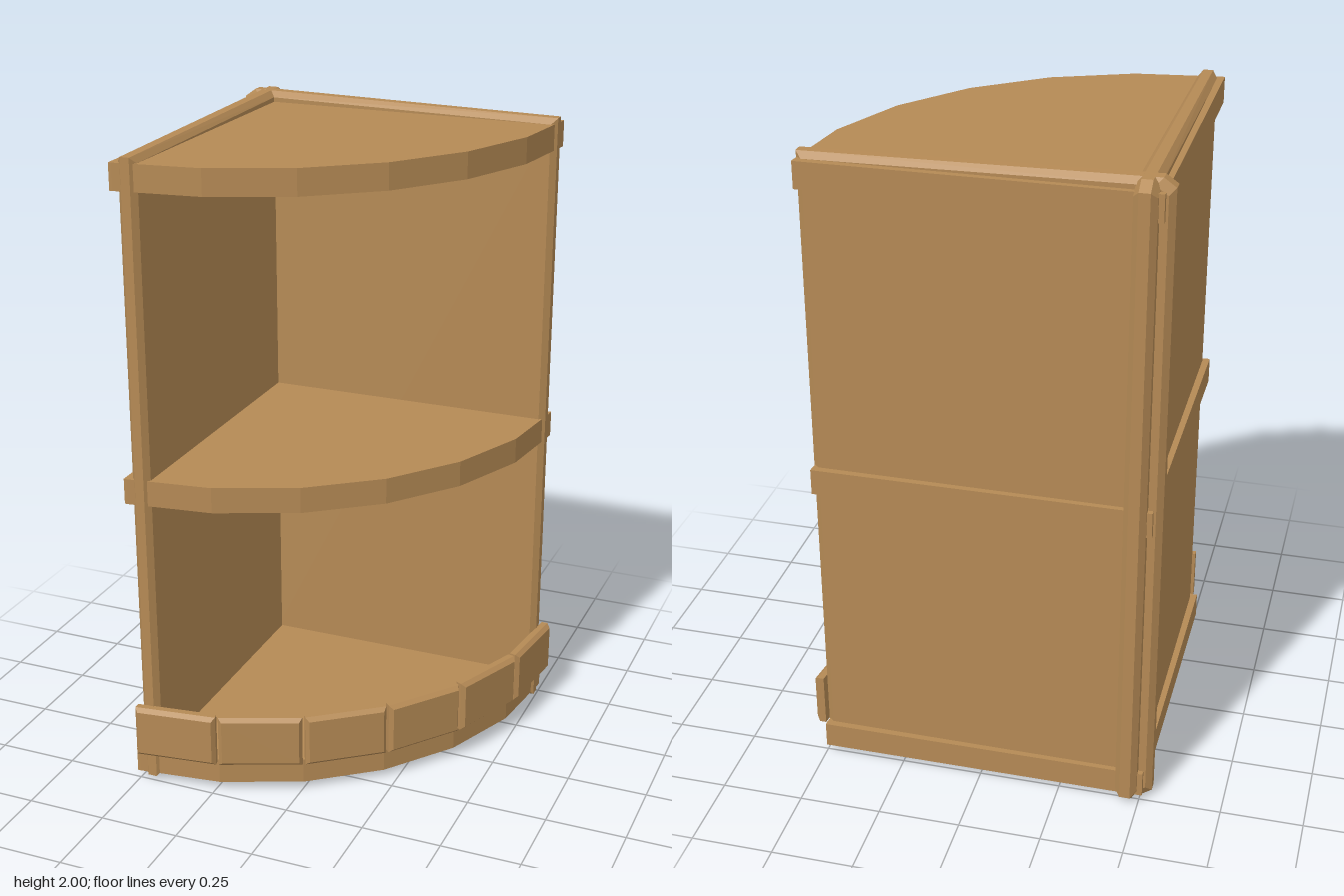
import * as THREE from 'three';
import { ConvexGeometry } from 'three/addons/geometries/ConvexGeometry.js';

const CORNER = -0.5;      // centre of the quarter circle in x and z
const STEP = Math.PI / 12; // six segments per quarter

export function createModel() {
  const model = new THREE.Group();
  model.name = 'cornerShelf';
  const wood = new THREE.MeshStandardMaterial({ color: 0xb58a55, flatShading: true });

  const add = (name, geometry) => {
    const mesh = new THREE.Mesh(geometry, wood);
    mesh.name = name;
    model.add(mesh);
    return mesh;
  };

  // Chamfered wall panel, a little larger at the corner end
  const addWall = (name, place) => {
    const points = [];
    for (const side of [-1, 1]) {
      for (const [t, inset] of [[0.033, 0.018], [0.016, 0]]) {
        for (const up of [-1, 1]) {
          const y = (half) => 1 + up * (half - inset);
          points.push(
            place(-0.535 + inset, y(0.975), -0.461 + side * t),
            place(-0.5 + inset, y(1), -0.461 + side * t),
            place(0.5 - inset, y(0.985), -0.459 + side * t * 0.9)
          );
        }
      }
    }
    add(name, new ConvexGeometry(points));
  };
  addWall('backWall', (u, y, t) => new THREE.Vector3(u, y, t));
  addWall('leftWall', (u, y, t) => new THREE.Vector3(t, y, u));

  // Quarter-round shelves whose straight edges pass through the walls
  const outline = new THREE.Shape();
  outline.moveTo(-0.51, -0.51);
  outline.lineTo(0.5, -0.51);
  for (let i = 0; i <= 6; i++) {
    outline.lineTo(CORNER + Math.cos(i * STEP), CORNER + Math.sin(i * STEP));
  }
  outline.lineTo(-0.51, 0.5);
  const shelfGeometry = new THREE.ExtrudeGeometry(outline, { depth: 0.08, bevelEnabled: false });
  shelfGeometry.rotateX(Math.PI / 2);
  [['bottomShelf', 0.103], ['middleShelf', 1.02], ['topShelf', 1.967]].forEach(([name, top]) => {
    add(name, shelfGeometry).position.y = top;
  });

  // Curved rim of six planks, chamfered on the outer side
  const plankPoints = [];
  for (const [depth, inset] of [[0, 0], [0.02, 0], [0.033, 0.012]]) {
    for (const sx of [-1, 1]) {
      for (const sy of [-1, 1]) {
        plankPoints.push(new THREE.Vector3(
          sx * (0.127 + depth * 0.12 - inset), sy * (0.083 - inset), depth));
      }
    }
  }
  const plankGeometry = new ConvexGeometry(plankPoints);
  for (let i = 0; i < 6; i++) {
    const angle = (i + 0.5) * STEP; // measured from +z towards +x
    const plank = add('rimPlank' + (i + 1), plankGeometry);
    plank.position.set(CORNER + 0.996 * Math.sin(angle), 0.183, CORNER + 0.996 * Math.cos(angle));
    plank.rotation.y = angle;
  }

  return model;
}
